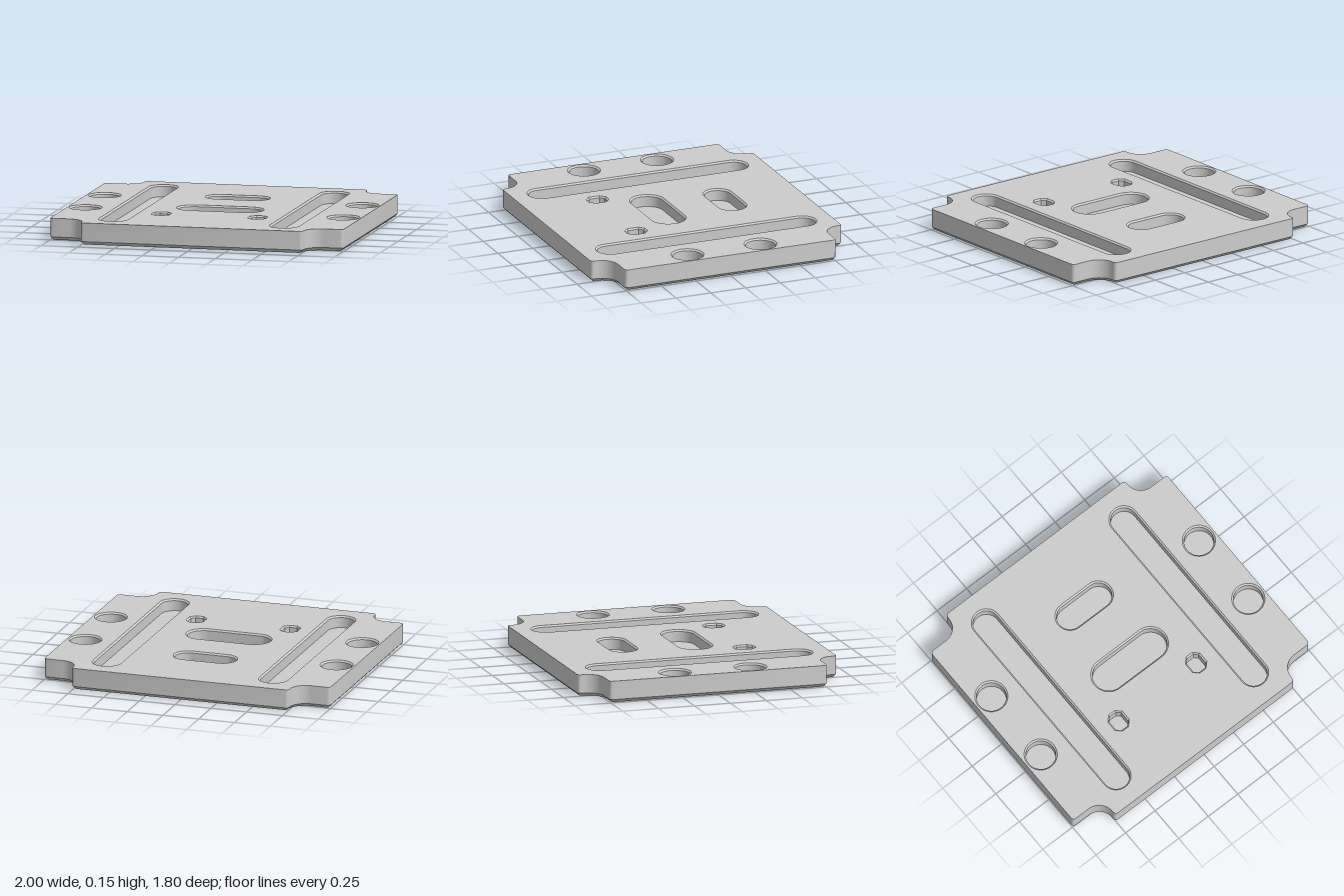
import * as THREE from 'three';
import { mergeGeometries, toCreasedNormals } from 'three/addons/utils/BufferGeometryUtils.js';

const HEIGHT = 0.147, CHAMFER = 0.022, RIM = 0.011, DEPTH = 0.08;

// points of an arc in the (x, z) plane, angles in quarter turns
function arc(cx, cz, r, from, to, segments) {
  return Array.from({ length: segments + 1 }, (_, i) => {
    const a = (from + (to - from) * i / segments) * Math.PI / 2;
    return [cx + r * Math.cos(a), cz + r * Math.sin(a)];
  });
}

// plate outline with scooped corners, shrunk by an inset
function plateOutline(inset) {
  const r = Math.max(0.022 - inset, 0.001);
  const quarter = [
    ...arc(0.978, 0.735, r, 0, 1, 4),
    ...arc(0.867, 0.867, 0.11 + inset, -1, -2, 12),
    ...arc(0.735, 0.878, r, 0, 1, 4),
  ];
  const back = [...quarter].reverse();
  return [
    ...quarter,
    ...back.map(([x, z]) => [-x, z]),
    ...quarter.map(([x, z]) => [-x, -z]),
    ...back.map(([x, z]) => [x, -z]),
  ];
}

// rounded rectangle; one segment per corner makes an octagon
function pocketOutline({ x, z, hx, hz, r, segments }, inset) {
  const dx = hx - r, dz = hz - r, q = r - inset;
  return [[1, 1], [-1, 1], [-1, -1], [1, -1]].flatMap(([sx, sz], i) =>
    arc(x + sx * dx, z + sz * dz, q, i, i + 1, segments));
}

// wall skin through rings of [outline, y]; bottom to top faces outwards
function loft(rings) {
  const p = [];
  for (let k = 0; k + 1 < rings.length; k++) {
    const [lo, y0] = rings[k], [hi, y1] = rings[k + 1];
    lo.forEach(([ax, az], i) => {
      const j = (i + 1) % lo.length;
      const [bx, bz] = lo[j], [cx, cz] = hi[i], [dx, dz] = hi[j];
      p.push(ax, y0, az, cx, y1, cz, bx, y0, bz, bx, y0, bz, cx, y1, cz, dx, y1, dz);
    });
  }
  return new THREE.BufferGeometry().setAttribute('position', new THREE.Float32BufferAttribute(p, 3));
}

// flat face at height y, facing up or down
function cap(outline, y, up, holes = []) {
  const s = up ? -1 : 1;
  const flat = (pts) => pts.map(([x, z]) => new THREE.Vector2(x, s * z));
  const shape = new THREE.Shape(flat(outline));
  shape.holes = holes.map((h) => new THREE.Path(flat(h)));
  const g = new THREE.ShapeGeometry(shape).rotateX(s * Math.PI / 2).translate(0, y, 0).toNonIndexed();
  g.deleteAttribute('uv');
  g.deleteAttribute('normal');
  return g;
}

export function createModel() {
  const group = new THREE.Group();
  const material = new THREE.MeshStandardMaterial({ color: 0xcccccc });
  const add = (name, parts) => {
    const mesh = new THREE.Mesh(toCreasedNormals(mergeGeometries(parts), 0.55), material);
    mesh.name = name;
    group.add(mesh);
  };

  // recesses in the top face
  const pockets = [
    { name: 'rearSlot', x: 0, z: -0.38, hx: 0.22, hz: 0.1, r: 0.0999, segments: 10 },
    { name: 'frontSlot', x: 0, z: 0.102, hx: 0.296, hz: 0.12, r: 0.1199, segments: 10 },
  ];
  for (const [side, s] of [['left', 1], ['right', -1]]) {
    pockets.push(
      { name: side + 'LongSlot', x: s * 0.582, z: 0, hx: 0.1, hz: 0.788, r: 0.0999, segments: 10 },
      { name: side + 'RearRoundPocket', x: s * 0.878, z: -0.264, hx: 0.11, hz: 0.11, r: 0.1099, segments: 10 },
      { name: side + 'FrontRoundPocket', x: s * 0.878, z: 0.26, hx: 0.11, hz: 0.11, r: 0.1099, segments: 10 },
      { name: side + 'OctagonPocket', x: s * 0.328, z: 0.396, hx: 0.062, hz: 0.073, r: 0.036, segments: 1 },
    );
  }

  // plate with a chamfered bottom edge
  const outer = plateOutline(0), foot = plateOutline(CHAMFER);
  add('plate', [
    loft([[foot, 0], [outer, CHAMFER], [outer, HEIGHT]]),
    cap(foot, 0, false),
    cap(outer, HEIGHT, true, pockets.map((p) => pocketOutline(p, 0))),
  ]);

  // pocket rims, walls and floors
  for (const p of pockets) {
    const rim = pocketOutline(p, 0), inner = pocketOutline(p, RIM);
    add(p.name, [
      loft([[rim, HEIGHT], [inner, HEIGHT - RIM], [inner, HEIGHT - DEPTH]]),
      cap(inner, HEIGHT - DEPTH, true),
    ]);
  }
  return group;
}
